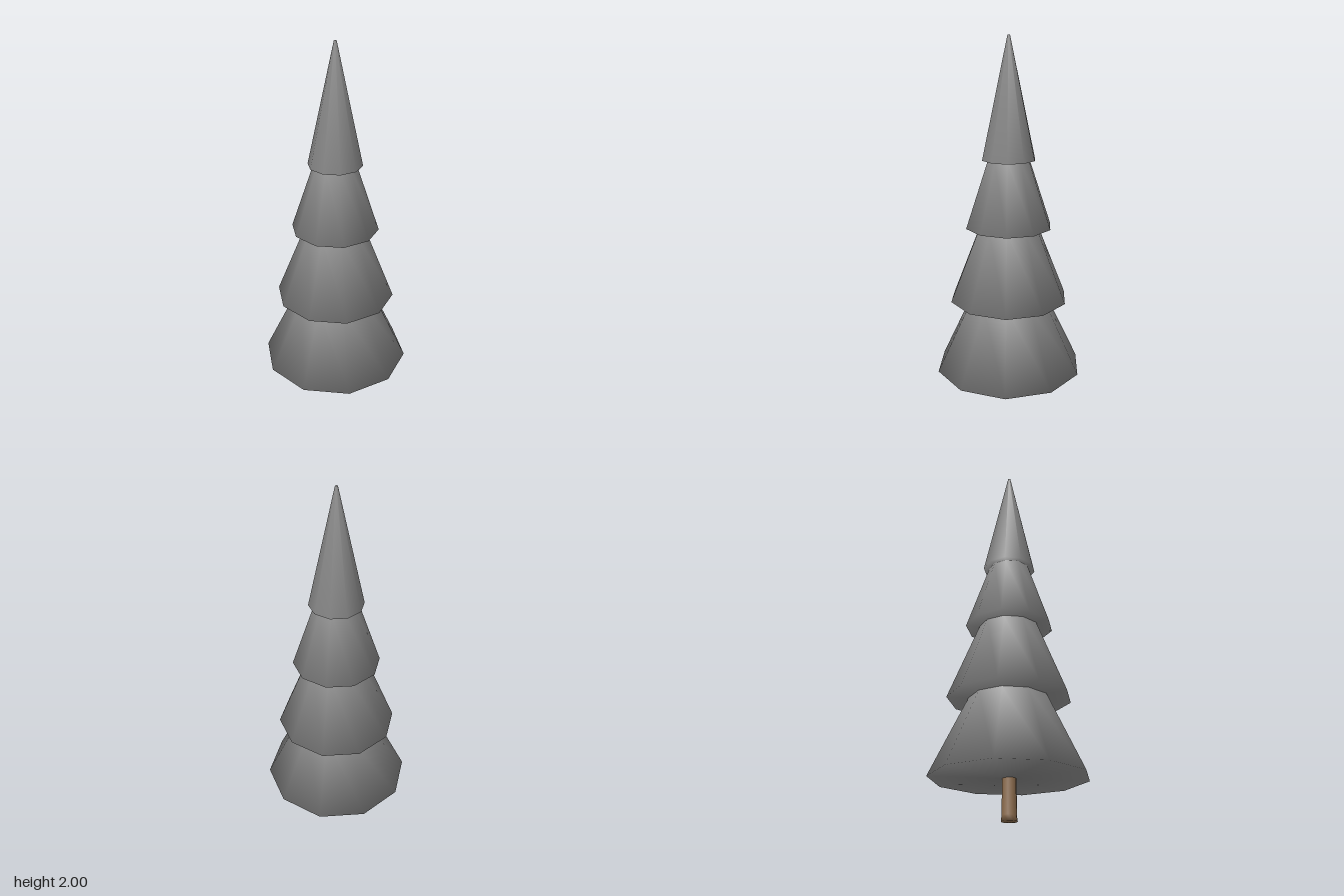
import * as THREE from 'three';

const SIDES = 10;

export function createModel() {
  const tree = new THREE.Group();
  tree.name = 'coniferTree';

  const foliage = new THREE.MeshStandardMaterial({ color: 0x8c8c8c });
  foliage.name = 'foliageGrey';
  const bark = new THREE.MeshStandardMaterial({ color: 0x8f6f50 });
  bark.name = 'barkBrown';

  // Smooth ten-sided solid turned from [radius, height] points
  const turn = (name, points, material) => {
    const profile = points.map(([r, y]) => new THREE.Vector2(r, y));
    const mesh = new THREE.Mesh(new THREE.LatheGeometry(profile, SIDES), material);
    mesh.name = name;
    tree.add(mesh);
  };

  // Trunk with a slight flare at the foot
  turn('trunk', [[0, 0], [0.041, 0], [0.037, 0.03], [0.036, 0.205]], bark);

  // Stacked skirts: bottom radius, bottom height, top radius, top height
  const tiers = [
    [0.403, 0.205, 0.21, 0.61],
    [0.322, 0.61, 0.16, 1.015],
    [0.233, 1.015, 0.112, 1.375],
    [0.143, 1.375, 0.007, 2],
  ];
  tiers.forEach(([r0, y0, r1, y1], i) => {
    const points = [[0, y0], [r0, y0], [r1, y1]];
    if (i === tiers.length - 1) points.push([0, y1]); // blunt tip
    turn(`foliageTier${i + 1}`, points, foliage);
  });

  return tree;
}
